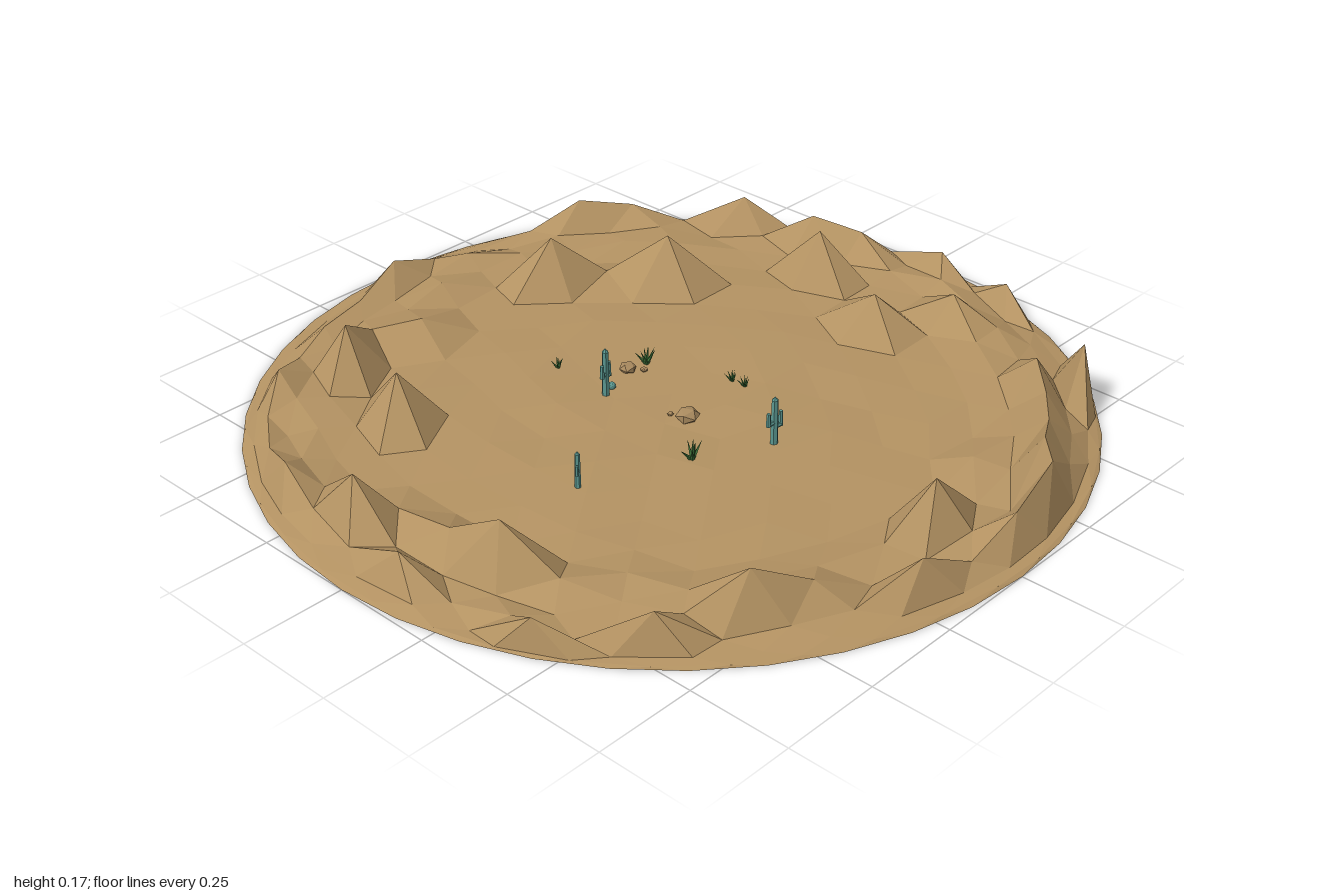
import * as THREE from 'three';

const GROUND = 0.04;
const sand = new THREE.MeshStandardMaterial({ color: 0xb39262, flatShading: true, side: THREE.DoubleSide });
const stone = new THREE.MeshStandardMaterial({ color: 0xa8895e, flatShading: true });
const teal = new THREE.MeshStandardMaterial({ color: 0x5a9790, flatShading: true });
const green = new THREE.MeshStandardMaterial({ color: 0x3c7038, flatShading: true, side: THREE.DoubleSide });

// Hill tops: x, z, height
const HILLS = [
  [0.41, -0.4, 0.165], [0.23, -0.63, 0.165], [0.37, -0.53, 0.06], [-0.19, -0.62, 0.08],
  [-0.45, -0.66, 0.155], [-0.31, -0.75, 0.07], [-0.02, -0.92, 0.09], [-0.54, -0.38, 0.165],
  [-0.63, -0.7, 0.08], [-0.85, -0.38, 0.09], [-0.85, -0.18, 0.15], [-0.92, 0.1, 0.09],
  [-0.76, 0.26, 0.155], [-0.82, 0.08, 0.08], [-0.84, 0.45, 0.08], [-0.73, 0.6, 0.1],
  [-0.48, 0.68, 0.14], [-0.35, 0.75, 0.08], [-0.2, 0.85, 0.1], [0, 0.79, 0.16],
  [0.1, 0.92, 0.09], [0.26, 0.84, 0.155], [0.2, 0.91, 0.15], [0.39, 0.77, 0.12],
  [0.49, 0.68, 0.11], [0.57, 0.57, 0.12], [0.64, 0.65, 0.16], [0.57, 0.18, 0.12],
  [0.78, 0.31, 0.11], [0.71, -0.11, 0.165], [0.8, -0.23, 0.12], [0.88, -0.15, 0.1],
  [0.92, 0.06, 0.09], [0.73, -0.45, 0.12], [0.5, -0.77, 0.11], [0.62, -0.7, 0.09],
  [0.88, 0.3, 0.08],
];

const hash = (x, z) => {
  const s = Math.sin(x * 127.1 + z * 311.7) * 43758.5453;
  return s - Math.floor(s);
};

function add(parent, name, geometry, material, x = 0, y = 0, z = 0) {
  const mesh = new THREE.Mesh(geometry, material);
  mesh.name = name;
  mesh.position.set(x, y, z);
  parent.add(mesh);
  return mesh;
}

// Upper half of a subdivided icosahedron, flattened, with chosen vertices raised
function terrainGeometry() {
  const ring = (y, turn) => [...Array(5).keys()].map((k) => {
    const a = (k + turn) * Math.PI * 0.4, r = Math.sqrt(1 - y * y);
    return new THREE.Vector3(r * Math.cos(a), y, -r * Math.sin(a));
  });
  const pole = new THREE.Vector3(0, 1, 0);
  const up = ring(Math.sqrt(0.2), 0), low = ring(-Math.sqrt(0.2), 0.5);
  const corners = [];
  const split = (a, b, c, depth) => {
    if (depth === 0) {
      if (Math.min(a.y, b.y, c.y) > -1e-6) corners.push(a, b, c);
      return;
    }
    const mid = (p, q) => p.clone().add(q).normalize();
    const ab = mid(a, b), bc = mid(b, c), ca = mid(c, a);
    [[a, ab, ca], [ab, b, bc], [ca, bc, c], [ab, bc, ca]].forEach((t) => split(...t, depth - 1));
  };
  for (let k = 0; k < 5; k++) {
    const n = (k + 1) % 5;
    split(pole, up[k], up[n], 3);
    split(up[k], low[k], up[n], 3);
    split(up[n], low[k], low[n], 3);
  }

  // Gentle dome: slightly uneven floor, rougher outer belt, level rim
  const key = (p) => `${Math.round(p.x * 1000)},${Math.round(p.z * 1000)}`;
  const heights = new Map();
  corners.forEach((p) => {
    const noise = hash(Math.round(p.x * 1000), Math.round(p.z * 1000));
    const belt = p.y > 0.3 && p.y < 0.68;
    const uneven = belt ? noise * 0.035 : p.y > 0.2 ? (noise - 0.5) * 0.01 : 0;
    heights.set(key(p), Math.max(0, p.y) * GROUND + uneven);
  });
  // Raise the vertex nearest to each hill top
  for (const [x, z, h] of HILLS) {
    let best = null, dist = Infinity;
    for (const p of corners) {
      const d = Math.hypot(p.x - x, p.z - z);
      if (p.y > 0.1 && d < dist) { dist = d; best = p; }
    }
    heights.set(key(best), h);
  }
  const positions = corners.flatMap((p) => [p.x, heights.get(key(p)), p.z]);
  const geometry = new THREE.BufferGeometry();
  geometry.setAttribute('position', new THREE.Float32BufferAttribute(positions, 3));
  geometry.computeVertexNormals();
  return geometry;
}

// Column with two bent arms
function cactus(x, z, height, turn) {
  const group = new THREE.Group();
  group.name = 'cactus';
  group.position.set(x, GROUND - 0.005, z);
  group.rotation.y = turn;
  const r = height * 0.08;
  add(group, 'cactusTrunk', new THREE.CylinderGeometry(r * 0.85, r, height, 6), teal, 0, height / 2, 0);
  add(group, 'cactusTip', new THREE.ConeGeometry(r * 0.85, r, 6), teal, 0, height + r / 2, 0);
  for (const [side, level, length] of [[1, 0.4, 0.32], [-1, 0.52, 0.28]]) {
    const reach = height * 0.18;
    const elbow = add(group, 'cactusElbow', new THREE.CylinderGeometry(r * 0.6, r * 0.6, reach, 6), teal,
      side * reach / 2, height * level, 0);
    elbow.rotation.z = Math.PI / 2;
    add(group, 'cactusArm', new THREE.CylinderGeometry(r * 0.5, r * 0.65, height * length, 6), teal,
      side * reach, height * (level + length / 2 - 0.03), 0);
  }
  return group;
}

// Tuft of leaning spiky leaves
function shrub(x, z, size) {
  const group = new THREE.Group();
  group.name = 'shrub';
  group.position.set(x, GROUND - 0.003, z);
  for (let i = 0; i < 7; i++) {
    const leaf = new THREE.ConeGeometry(size * 0.12, size, 4);
    leaf.translate(0, size / 2, 0);
    leaf.rotateZ(-0.15 - 0.65 * hash(i, x));
    leaf.rotateY(i * 2.4 + x * 10);
    add(group, 'leaf', leaf, green);
  }
  return group;
}

export function createModel() {
  const model = new THREE.Group();
  model.name = 'desertBasin';
  add(model, 'terrain', terrainGeometry(), sand);

  for (const c of [[-0.11, -0.11, 0.118, 0.4], [-0.435, 0.125, 0.09, 0.7], [-0.005, 0.32, 0.118, 0]]) {
    model.add(cactus(...c));
  }
  for (const s of [[0.06, -0.14, 0.045], [-0.18, 0.23, 0.05], [0.14, 0.105, 0.03],
    [0.14, 0.065, 0.03], [-0.1, -0.28, 0.03]]) {
    model.add(shrub(...s));
  }

  // Boulders and pebbles
  for (const [x, z, r] of [[-0.06, 0.105, 0.03], [0.005, -0.15, 0.022], [0.03, -0.12, 0.01], [-0.075, 0.065, 0.008]]) {
    const rock = add(model, 'rock', new THREE.IcosahedronGeometry(r), stone, x, GROUND + r * 0.3, z);
    rock.scale.y = 0.65;
    rock.rotation.y = x * 20;
  }
  // Small round cactus beside the tall one
  add(model, 'barrelCactus', new THREE.IcosahedronGeometry(0.01, 1), teal, -0.08, GROUND + 0.005, -0.12);
  return model;
}
